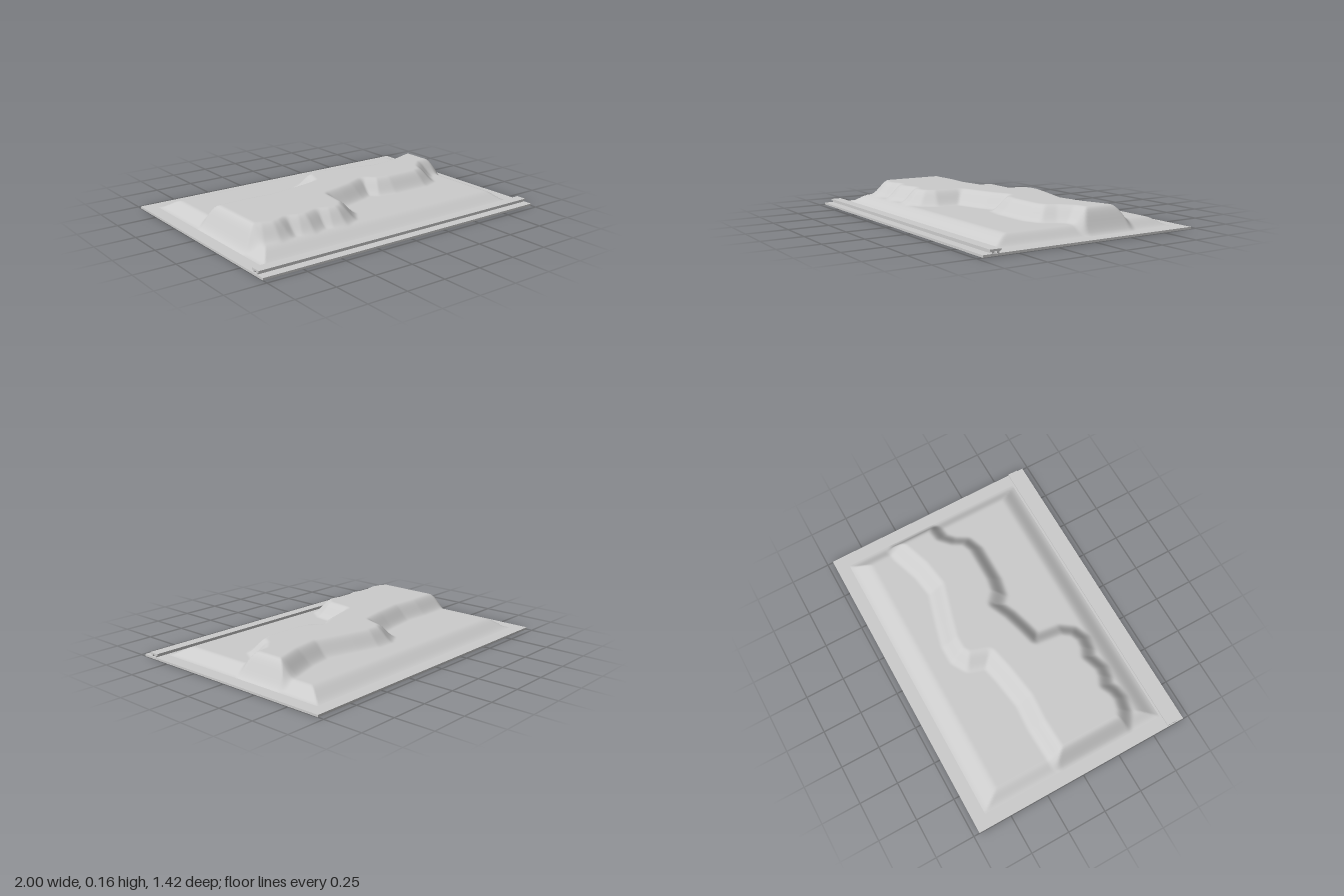
import * as THREE from 'three';

const PLATE_TOP = 0.013;
const TERRAIN = { halfX: 0.92, back: -0.63, front: 0.59 };

// Outline of the upper plateau, halfway down its slope: [x, z]
const PLATEAU = [
  [-0.865, 0.36], [-0.80, 0.40], [-0.72, 0.42], [-0.66, 0.41], [-0.61, 0.385],
  [-0.56, 0.41], [-0.50, 0.42], [-0.44, 0.40], [-0.40, 0.385], [-0.35, 0.41],
  [-0.28, 0.42], [-0.21, 0.39], [-0.16, 0.32], [-0.14, 0.16], [-0.04, 0.135],
  [0.08, 0.10], [0.18, 0.055], [0.24, 0.11], [0.34, 0.13], [0.58, 0.13],
  [0.66, 0.10], [0.70, 0.03], [0.76, -0.025], [0.865, -0.04],
  [0.865, -0.32], [0.80, -0.31], [0.62, -0.25], [0.46, -0.225], [0.24, -0.285],
  [0.10, -0.32], [0.0, -0.32], [-0.07, -0.28], [-0.11, -0.16], [-0.25, -0.13],
  [-0.45, -0.10], [-0.62, -0.11], [-0.865, -0.10],
];

const ramp = (d, from, to) => THREE.MathUtils.smoothstep(d, from, to);

// Signed distance to the plateau outline, positive inside
function plateauDistance(x, z) {
  let best = Infinity;
  let inside = false;
  PLATEAU.forEach(([ax, az], i) => {
    const [bx, bz] = PLATEAU[(i + 1) % PLATEAU.length];
    const dx = bx - ax, dz = bz - az;
    const t = THREE.MathUtils.clamp(((x - ax) * dx + (z - az) * dz) / (dx * dx + dz * dz), 0, 1);
    best = Math.min(best, Math.hypot(x - ax - t * dx, z - az - t * dz));
    if ((az > z) !== (bz > z) && x < ax + (dx * (z - az)) / dz) inside = !inside;
  });
  return inside ? best : -best;
}

// Two stacked terraces with soft slopes
function terrainHeight(x, z) {
  const side = TERRAIN.halfX - Math.abs(x);
  const ends = Math.min(z - TERRAIN.back, TERRAIN.front - z);
  const lower = Math.min(ramp(side, 0, 0.10), ramp(ends, -0.01, 0.135));
  const upper = ramp(plateauDistance(x, z), -0.06, 0.06);
  return PLATE_TOP + 0.001 + 0.058 * lower + 0.09 * upper;
}

function createTerrain() {
  const depth = TERRAIN.front - TERRAIN.back;
  const geometry = new THREE.PlaneGeometry(TERRAIN.halfX * 2, depth, 170, 115);
  geometry.rotateX(-Math.PI / 2);
  geometry.translate(0, 0, (TERRAIN.front + TERRAIN.back) / 2);
  const p = geometry.attributes.position;
  for (let i = 0; i < p.count; i++) p.setY(i, terrainHeight(p.getX(i), p.getZ(i)));
  geometry.computeVertexNormals();
  return geometry;
}

// Low rail: a wide cap on two feet, swept along x
function createRail() {
  const half = [
    [0.008, 0.012], [0.008, 0.003], [0.012, 0], [0.022, 0],
    [0.022, 0.009], [0.033, 0.012], [0.033, 0.022],
  ];
  const mirrored = half.map(([x, y]) => [-x, y]).reverse();
  const shape = new THREE.Shape([...half, ...mirrored].map(([x, y]) => new THREE.Vector2(x, y)));
  const geometry = new THREE.ExtrudeGeometry(shape, { depth: 1.99, bevelEnabled: false });
  geometry.translate(0, 0, -0.995);
  geometry.rotateY(Math.PI / 2);
  return geometry;
}

export function createModel() {
  const group = new THREE.Group();
  group.name = 'terrainBoard';
  const material = new THREE.MeshStandardMaterial({ color: 0xcccccc });

  const add = (name, geometry, y = 0, z = 0) => {
    const mesh = new THREE.Mesh(geometry, material);
    mesh.name = name;
    mesh.position.set(0, y, z);
    group.add(mesh);
  };

  add('basePlate', new THREE.BoxGeometry(2, PLATE_TOP, 1.424), PLATE_TOP / 2);
  add('terracedHill', createTerrain());
  add('frontRail', createRail(), PLATE_TOP, 0.633);
  return group;
}
